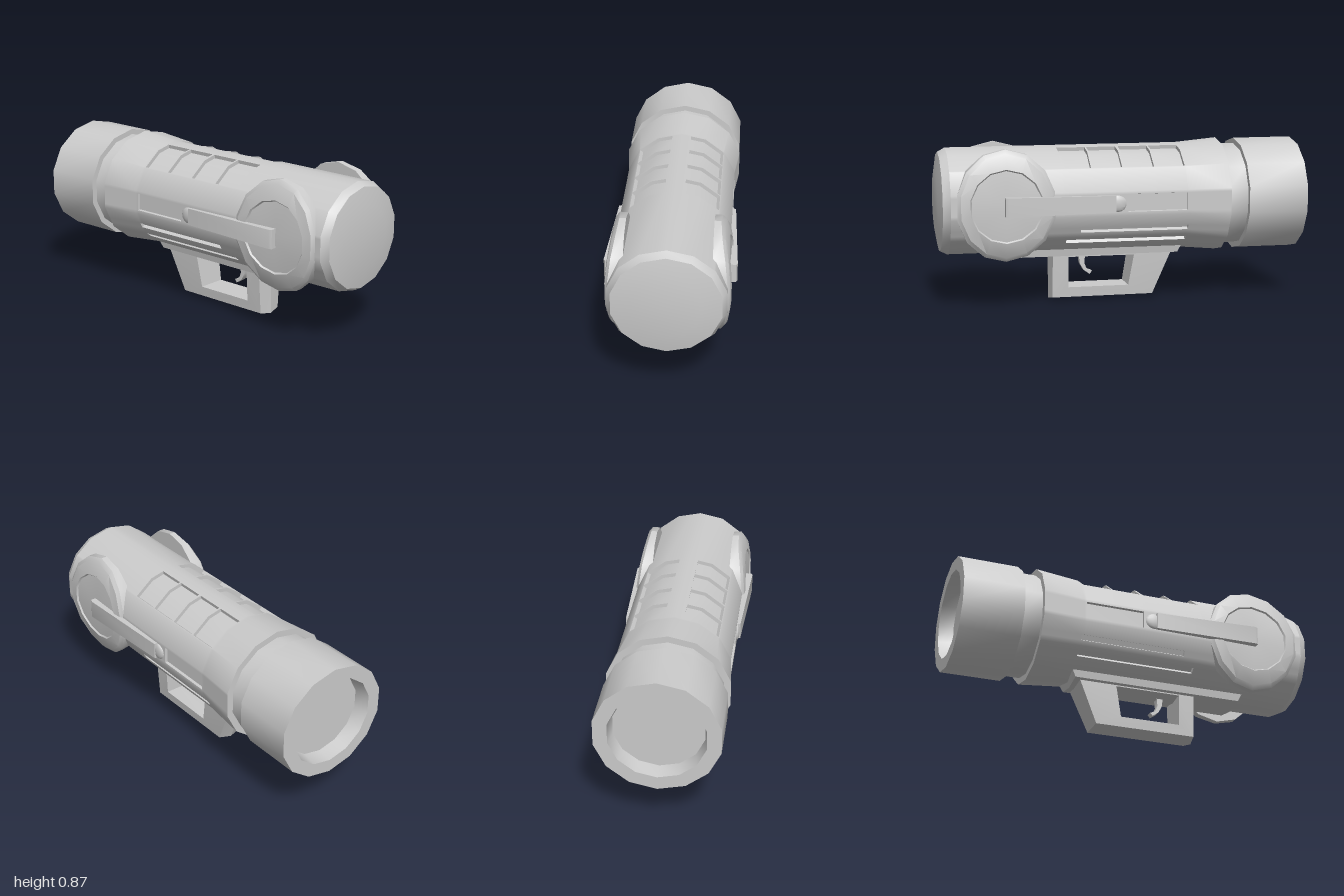
import * as THREE from 'three';
import { toCreasedNormals } from 'three/addons/utils/BufferGeometryUtils.js';

const SIDES = 14, AXIS_Y = 0.555, WIDEN = 1.05;
const STEP = 360 / SIDES;
const material = new THREE.MeshStandardMaterial({ color: 0xcccccc });

function addMesh(parent, name, geometry, crease = 0.6) {
  const mesh = new THREE.Mesh(toCreasedNormals(geometry, crease), material);
  mesh.name = name;
  parent.add(mesh);
  return mesh;
}

// Move every vertex by a rule that edits the vector in place
function warp(geometry, rule) {
  const p = geometry.attributes.position, v = new THREE.Vector3();
  for (let i = 0; i < p.count; i++) {
    rule(v.fromBufferAttribute(p, i));
    p.setXYZ(i, v.x, v.y, v.z);
  }
  return geometry;
}

const points = (list) => list.map(([x, y]) => new THREE.Vector2(x, y));

// Turned part along x, from [radius, x] pairs
function turned(profile) {
  const g = new THREE.LatheGeometry(points(profile), SIDES, Math.PI / 2);
  return g.rotateZ(-Math.PI / 2).scale(1, 1, WIDEN).translate(0, AXIS_Y, 0);
}

function extrude(outline, depth, steps = 1, hole) {
  const shape = new THREE.Shape(points(outline));
  if (hole) shape.holes.push(new THREE.Path(points(hole)));
  return new THREE.ExtrudeGeometry(shape, { depth, steps, bevelEnabled: false })
    .translate(0, 0, -depth / 2);
}

// Recesses in the casing: x range, angle range from the top, depth
const recesses = [
  ...[[-0.325, -0.165], [-0.155, 0.005], [0.02, 0.18], [0.19, 0.345]]
    .map(([x0, x1]) => ({ x0, x1, a0: 10, a1: 50, d: 0.02 })),
  { x0: -0.325, x1: 0, a0: 80, a1: 99, d: 0.015 },
  { x0: -0.34, x1: 0.25, a0: 117, a1: 123, d: 0.02 },
  { x0: -0.34, x1: 0.32, a0: 134, a1: 141, d: 0.02 },
];

// Many-sided casing as a grid of cells; recessed cells are sunk and walled
function casingGeometry() {
  const sorted = (list) => [...new Set(list)].sort((a, b) => a - b);
  const xs = sorted([-0.565, -0.33, 0.94, ...recesses.flatMap((r) => [r.x0, r.x1])]);
  const corners = Array.from({ length: SIDES + 1 }, (_, i) => i * STEP);
  const as = sorted([...corners,
    ...recesses.flatMap((r) => [r.a0, r.a1, 360 - r.a0, 360 - r.a1])]);

  const radius = (x) => (x < -0.33
    ? THREE.MathUtils.mapLinear(x, -0.565, -0.33, 0.315, 0.293)
    : THREE.MathUtils.mapLinear(x, -0.33, 0.94, 0.293, 0.29));
  const point = (x, a, d) => {
    const rad = THREE.MathUtils.degToRad;
    const R = radius(x) * Math.cos(rad(STEP / 2)) / Math.cos(rad((a % STEP) - STEP / 2)) - d;
    return [x, AXIS_Y + R * Math.cos(rad(a)), WIDEN * R * Math.sin(rad(a))];
  };
  const depth = (i, j) => {
    const x = (xs[i] + xs[i + 1]) / 2;
    let a = (as[j] + as[j + 1]) / 2;
    if (a > 180) a = 360 - a;
    const hit = recesses.find((r) => x > r.x0 && x < r.x1 && a > r.a0 && a < r.a1);
    return hit ? hit.d : 0;
  };

  const pos = [];
  const quad = (a, b, c, d) => pos.push(...a, ...b, ...c, ...a, ...c, ...d);
  for (let i = 0; i < xs.length - 1; i++) {
    for (let j = 0; j < as.length - 1; j++) {
      const x0 = xs[i], x1 = xs[i + 1], a0 = as[j], a1 = as[j + 1], d = depth(i, j);
      quad(point(x0, a0, d), point(x0, a1, d), point(x1, a1, d), point(x1, a0, d));
      const dx = i < xs.length - 2 ? depth(i + 1, j) : d;
      if (dx !== d) quad(point(x1, a0, d), point(x1, a1, d), point(x1, a1, dx), point(x1, a0, dx));
      const da = j < as.length - 2 ? depth(i, j + 1) : d;
      if (da !== d) quad(point(x1, a1, d), point(x0, a1, d), point(x0, a1, da), point(x1, a1, da));
    }
  }
  const g = new THREE.BufferGeometry();
  g.setAttribute('position', new THREE.Float32BufferAttribute(pos, 3));
  return g;
}

// Raised disc, wrapped around the casing, with a shallow dished centre
function discGeometry() {
  const g = new THREE.LatheGeometry(points([[0, 0.22], [0.265, 0.22], [0.265, 0.298],
    [0.245, 0.312], [0.195, 0.316], [0.188, 0.307], [0, 0.307]]), SIDES);
  g.rotateX(Math.PI / 2);
  return warp(g, (v) => {
    if (Math.hypot(v.x, v.y) > 0.22) v.y *= 1.12;
    if (v.z > 0.25) v.z -= 0.5 * v.y * v.y;
    v.x += 0.65;
  });
}

export function createModel() {
  const model = new THREE.Group();
  model.name = 'launcher';

  // Tube: hollow rear sleeve, neck, casing and rounded end cap
  addMesh(model, 'rearSleeve', turned([[0, -0.92], [0.225, -0.92], [0.24, -1], [0.311, -1],
    [0.31, -0.67], [0.28, -0.67], [0.28, -0.565], [0.315, -0.565]]));
  addMesh(model, 'casing', casingGeometry());
  addMesh(model, 'endCap', turned([[0.29, 0.94], [0.268, 0.98], [0.17, 0.997], [0, 1]]));

  // Side fittings, repeated by a half turn about the tube axis
  for (const [name, turn] of [['left', 0], ['right', Math.PI]]) {
    const side = new THREE.Group();
    side.name = name + 'Fittings';
    side.position.y = AXIS_Y;
    side.rotation.x = turn;
    addMesh(side, 'sideDisc', discGeometry(), 0.5);
    const arm = extrude([[0.07, 0.28], [0.66, 0.28], [0.66, 0.332], [0.645, 0.34], [0.07, 0.318]], 0.1);
    arm.rotateX(Math.PI / 2);
    addMesh(side, 'sideArm', warp(arm, (v) => { v.y *= 0.9 + 0.2 * (v.x - 0.07); }));
    const nub = new THREE.SphereGeometry(1, 10, 8).scale(0.05, 0.045, 0.015);
    addMesh(side, 'armPivot', nub.translate(0.06, 0, 0.3));
    model.add(side);
  }

  // Keel rail under the tube, with slanted ends
  const rail = extrude([[-0.12, 0.3], [-0.11, 0.25], [0, 0.23], [0.11, 0.25], [0.12, 0.3]], 1);
  rail.rotateY(Math.PI / 2);
  addMesh(model, 'keelRail', warp(rail, (v) => {
    if (v.y < 0.26) v.x *= 0.95;
    v.x += 0.155;
  }), 0.3);

  // Grip frame with a ridge along the middle of its outer edge
  const grip = extrude([[-0.3, 0.25], [-0.2, 0], [0.385, 0], [0.385, 0.25]], 0.18, 2,
    [[-0.08, 0.24], [-0.05, 0.07], [0.285, 0.07], [0.285, 0.24]]);
  addMesh(model, 'gripFrame', warp(grip, (v) => {
    const flank = Math.abs(v.z) > 0.01;
    const low = v.y < 0.02;
    if (flank && (v.x < -0.15 || v.x > 0.35)) v.x -= Math.sign(v.x) * 0.012;
    if (flank && low) v.y = 0.015;
    v.z *= low ? 0.8 : 0.84 + 0.6 * v.y;
  }), 0.2);

  // Hooked trigger
  addMesh(model, 'trigger', extrude([[0.18, 0.245], [0.185, 0.19], [0.17, 0.155], [0.142, 0.145],
    [0.155, 0.128], [0.19, 0.152], [0.21, 0.19], [0.218, 0.245]], 0.04));

  return model;
}
